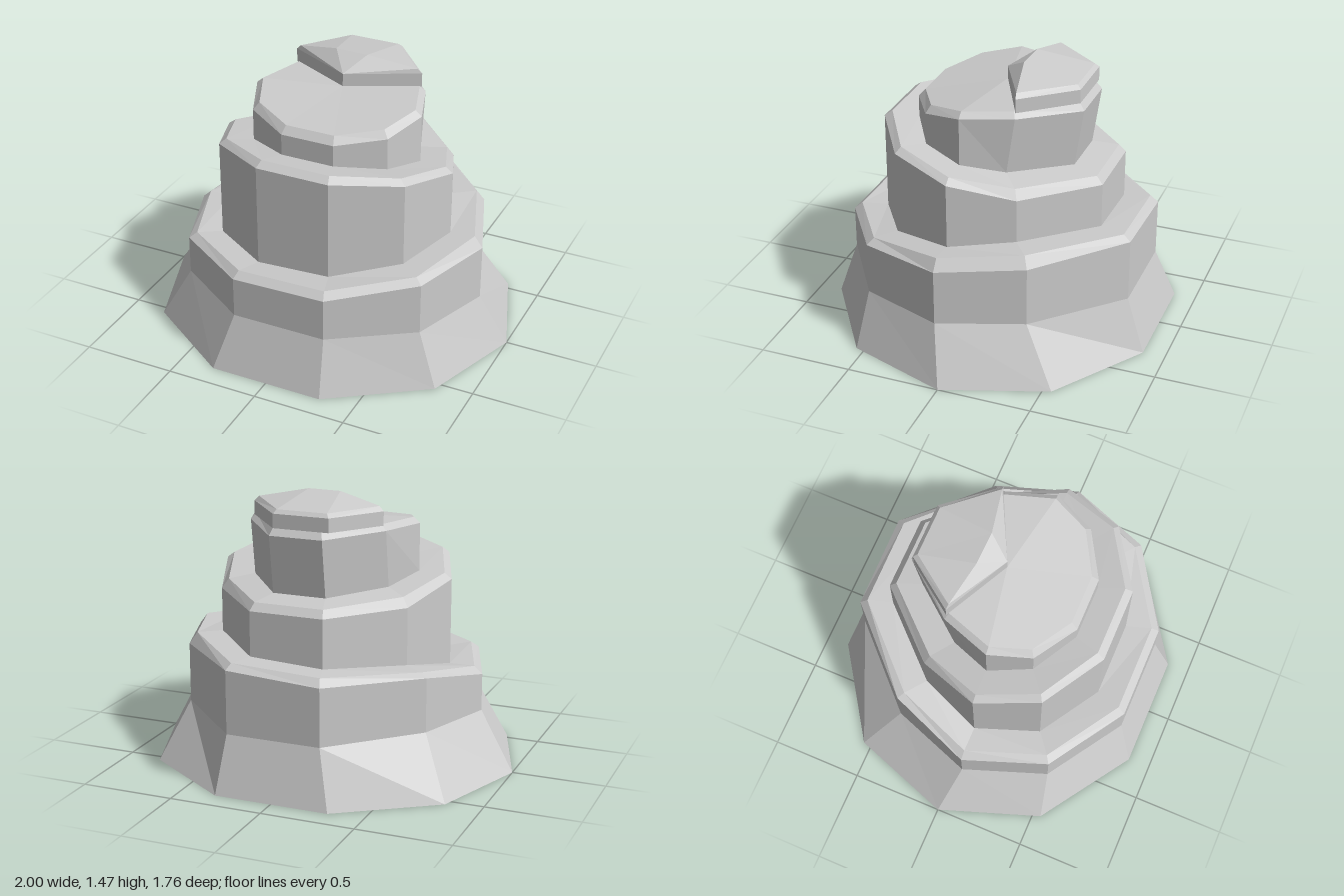
import * as THREE from 'three';

const SIDES = 10;
// which front-to-back row (0 = front, 4 = back) each corner belongs to
const ROW = [2, 1, 0, 0, 1, 2, 3, 4, 4, 3];

const material = new THREE.MeshStandardMaterial({
  color: 0xcccccc, flatShading: true, side: THREE.DoubleSide,
});

// Ten-sided ring: centre x, x radius, five z rows, heights (one, five rows or ten corners)
function ring(cx, r, zRows, y) {
  return ROW.map((row, i) => {
    const h = Array.isArray(y) ? (y.length === SIDES ? y[i] : y[row]) : y;
    return new THREE.Vector3(cx + r * Math.cos((i / SIDES) * Math.PI * 2), h, zRows[row]);
  });
}

// Surface through a stack of closed rings, bottom to top
function loft(rings) {
  const tris = [];
  for (let k = 0; k < rings.length - 1; k++) {
    const lo = rings[k], hi = rings[k + 1], n = lo.length;
    for (let i = 0; i < n; i++) {
      const j = (i + 1) % n;
      tris.push(lo[i], hi[i], hi[j], lo[i], hi[j], lo[j]);
    }
  }
  return tris;
}

// Fan closing a ring at one point
function cap(edge, tip) {
  return edge.flatMap((p, i) => [p, tip, edge[(i + 1) % edge.length]]);
}

function addMesh(group, name, tris) {
  const geometry = new THREE.BufferGeometry().setFromPoints(tris);
  geometry.computeVertexNormals();
  const mesh = new THREE.Mesh(geometry, material);
  mesh.name = name;
  group.add(mesh);
}

export function createModel() {
  const group = new THREE.Group();
  group.name = 'steppedRock';
  const v = (x, y, z) => new THREE.Vector3(x, y, z);

  // Flared foot and lower tier, its rim spiralling upward
  const z1 = [0.78, 0.51, 0.07, -0.37, -0.78];
  const z1in = [0.74, 0.485, 0.07, -0.345, -0.74];
  const rim1 = [0.66, 0.61, 0.565, 0.555, 0.54, 0.54, 0.61, 0.65, 0.67, 0.68];
  const foot = ring(0, 1, [0.88, 0.545, 0, -0.545, -0.88], 0);
  const lowerBase = ring(0.03, 0.83, z1, 0.3);
  const lowerTop = ring(0.03, 0.83, z1, [0.6, 0.58, 0.53, 0.52, 0.51, 0.5, 0.59, 0.61, 0.64, 0.62]);
  const lowerRim = ring(0.03, 0.785, z1in, rim1);

  // Middle tier, tilted down to the back
  const z2 = [0.605, 0.4, 0.07, -0.26, -0.605];
  const middleBase = ring(0.03, 0.65, z2, [0.65, 0.61, 0.56, 0.54, 0.53, 0.54, 0.61, 0.65, 0.67, 0.68]);
  const middleTop = ring(0.03, 0.65, z2, [1.095, 1.06, 1.0, 0.915, 0.91]);
  const middleRim = ring(0.03, 0.61, [0.565, 0.38, 0.07, -0.24, -0.57], [1.125, 1.09, 1.03, 0.965, 0.95]);

  // Upper tier, leaning back
  const z3 = [0.43, 0.29, 0.07, -0.195, -0.48];
  const upperBase = ring(0.03, 0.47, [0.43, 0.29, 0.07, -0.15, -0.435], [1.1, 1.07, 1.03, 0.985, 0.97]);
  const upperTop = ring(0.03, 0.47, z3, [1.215, 1.24, 1.285, 1.29, 1.28]);
  const upperRim = ring(0.03, 0.435, [0.395, 0.27, 0.07, -0.18, -0.455], [1.255, 1.28, 1.315, 1.32, 1.315]);

  addMesh(group, 'flaredFoot', loft([foot, lowerBase]));
  addMesh(group, 'lowerTier', loft([lowerBase, lowerTop, lowerRim, middleBase]));
  addMesh(group, 'middleTier', loft([middleBase, middleTop, middleRim, upperBase]));
  addMesh(group, 'upperTier', [
    ...loft([upperBase, upperTop, upperRim]),
    ...cap(upperRim, v(0.02, 1.32, -0.01)),
  ]);

  // Summit crag: pointed front wall, bevelled back, two-point ridge
  const outline = [[0.39, -0.19], [0.02, -0.01], [-0.335, -0.19], [-0.14, -0.455], [0.165, -0.455]];
  const bottom = outline.map(([x, z]) => v(x, 1.315, z));
  const top = outline.map(([x, z]) => v(x, 1.39, z));
  const [right, nose, left, backLeft, backRight] = top;
  const rightUp = v(0.365, 1.415, -0.185), leftUp = v(-0.31, 1.415, -0.185);
  const backRightUp = v(0.15, 1.41, -0.435), backLeftUp = v(-0.125, 1.41, -0.435);
  const peakRight = v(0.105, 1.465, -0.13), peakLeft = v(-0.075, 1.465, -0.135);
  const quad = (a, b, c, d) => [a, b, c, a, c, d];
  addMesh(group, 'summitCrag', [
    ...loft([bottom, top]),
    // front slopes
    nose, peakLeft, peakRight,
    ...quad(nose, peakRight, rightUp, right),
    ...quad(nose, left, leftUp, peakLeft),
    // bevels
    ...quad(right, rightUp, backRightUp, backRight),
    ...quad(backRight, backRightUp, backLeftUp, backLeft),
    ...quad(backLeft, backLeftUp, leftUp, left),
    // roof
    ...quad(peakRight, peakLeft, backLeftUp, backRightUp),
    peakRight, backRightUp, rightUp,
    peakLeft, leftUp, backLeftUp,
  ]);

  return group;
}
